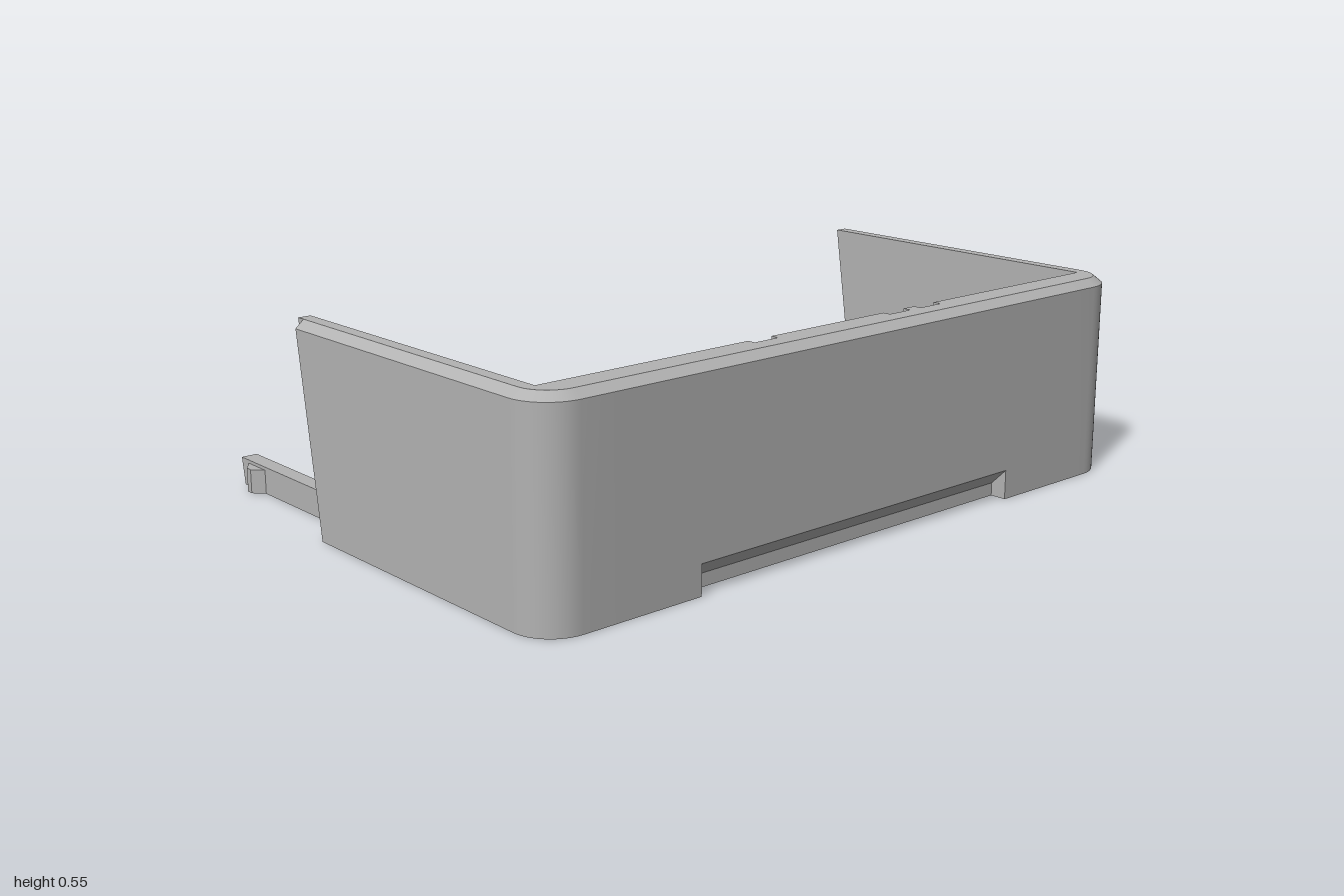
import * as THREE from 'three';
import { toCreasedNormals } from 'three/addons/utils/BufferGeometryUtils.js';

const H = 0.55, INNER_X = 0.94, INNER_Z = 0.635, FRONT = 0.73, R = 0.11, CH = 0.025, SEAM = 0.8;

// Extrude a (z, y) side profile between two x positions
function sidePrism(profile, xa, xb) {
  const x0 = Math.min(xa, xb), x1 = Math.max(xa, xb);
  const shape = new THREE.Shape(profile.map(([z, y]) => new THREE.Vector2(z, y)));
  const g = new THREE.ExtrudeGeometry(shape, { depth: x1 - x0, bevelEnabled: false });
  return g.rotateY(-Math.PI / 2).translate(x1, 0, 0);
}

// Extrude an (x, z) plan outline between two heights
function planPrism(outline, y0, y1) {
  const shape = new THREE.Shape(outline.map(([x, z]) => new THREE.Vector2(x, -z)));
  const g = new THREE.ExtrudeGeometry(shape, { depth: y1 - y0, bevelEnabled: false });
  return g.rotateX(-Math.PI / 2).translate(0, y0, 0);
}

// Slanted rear edge of the side walls
const rearZ = (y) => -0.197 - 0.083 * (y / H);

// Rounded corner plus side wall, swept as five-point cross-sections
function sideWall(s) {
  const rings = [];
  const ring = (ox, oz, nx, nz, ix, iz) => rings.push([
    [ox, 0, oz], [ox, H - 0.02, oz], [ox - nx * CH, H, oz - nz * CH], [ix, H, iz], [ix, 0, iz],
  ]);
  ring(SEAM, FRONT, 0, 1, SEAM, INNER_Z);
  const steps = 12;
  for (let i = 0; i <= steps; i++) {
    const a = (i / steps) * Math.PI / 2, nx = Math.sin(a), nz = Math.cos(a);
    ring(1 - R + R * nx, FRONT - R + R * nz, nx, nz, INNER_X, i < steps ? INNER_Z : FRONT - R);
  }
  // bevelled, slanted end
  for (const [inset, shift] of [[0, CH], [CH, 0]]) {
    rings.push([[1 - inset, 0], [1 - inset, H - 0.02], [1 - CH, H], [INNER_X, H], [INNER_X, 0]]
      .map(([x, y]) => [x, y, rearZ(y) + shift]));
  }
  const pos = [], idx = [], n = 5;
  rings.forEach((r) => r.forEach(([x, y, z]) => pos.push(s * x, y, z)));
  const tri = (a, b, c) => (s > 0 ? idx.push(a, b, c) : idx.push(a, c, b));
  for (let i = 0; i < rings.length - 1; i++) {
    for (let j = 0; j < n; j++) {
      const a = i * n + j, b = i * n + (j + 1) % n;
      tri(a, a + n, b);
      tri(b, a + n, b + n);
    }
  }
  const e = (rings.length - 1) * n;
  for (let j = 1; j < n - 1; j++) tri(e, e + j + 1, e + j);
  const g = new THREE.BufferGeometry();
  g.setAttribute('position', new THREE.Float32BufferAttribute(pos, 3));
  g.setIndex(idx);
  return toCreasedNormals(g, 0.5);
}

// Front wall section, optionally with the lower finger slot and an inner groove
function frontProfile(slot, groove) {
  const outer = slot
    ? [[FRONT - 0.045, 0], [FRONT - 0.045, 0.035], [FRONT, 0.08]]
    : [[FRONT, 0]];
  const top = [[FRONT, H - 0.02], [FRONT - CH, H]];
  const d = INNER_Z + 0.022;
  const inner = groove
    ? [[d, H], [d, 0.335], [INNER_Z, 0.335], [INNER_Z, 0.3], [d, 0.3], [d, 0.28], [INNER_Z, 0.22]]
    : [[INNER_Z, H]];
  return [[INNER_Z, 0], ...outer, ...top, ...inner];
}

export function createModel() {
  const model = new THREE.Group();
  model.name = 'snapOnCover';
  const grey = new THREE.MeshStandardMaterial({ color: 0xb2b2b2 });
  grey.name = 'grey plastic';
  const add = (name, geometry) => {
    const mesh = new THREE.Mesh(geometry, grey);
    mesh.name = name;
    model.add(mesh);
  };

  // Front wall in strips along x
  const stops = [-SEAM, -0.545, -0.315, -0.24, 0.15, 0.225, 0.265, 0.34, 0.545, SEAM];
  const grooved = [2, 4, 6];
  for (let i = 0; i < stops.length - 1; i++) {
    const slot = i > 0 && i < stops.length - 2;
    add('frontWall', sidePrism(frontProfile(slot, grooved.includes(i)), stops[i], stops[i + 1]));
  }

  for (const s of [1, -1]) {
    const side = s > 0 ? 'left' : 'right';
    add(side + 'Wall', sideWall(s));
    // Bracket and rear snap arm
    add(side + 'Bracket', sidePrism([[-0.22, 0], [0.097, 0], [0.08, 0.075], [-0.22, 0.075]], s * 0.865, s * INNER_X));
    add(side + 'Arm', sidePrism([[-0.722, 0], [-0.21, 0], [-0.21, 0.075], [-0.735, 0.075]], s * 0.865, s * 0.91));
    add(side + 'SnapBump', planPrism(
      [[0.905, -0.605], [0.937, -0.64], [0.937, -0.66], [0.905, -0.705]].map(([x, z]) => [s * x, z]), 0, 0.066));
  }

  // Inner support blocks
  add('leftBlock', planPrism([[0.61, 0.55], [0.76, 0.55], [0.76, 0.64], [0.61, 0.64]], 0, 0.2));
  add('rightBlock', planPrism(
    [[-0.73, 0.425], [-0.675, 0.425], [-0.675, 0.55], [-0.59, 0.55], [-0.59, 0.64], [-0.73, 0.64]], 0, 0.2));
  // Sloped hook beside the right block
  add('rightHook', sidePrism([[0.425, 0], [0.455, 0], [0.488, 0.08], [0.425, 0.2]], -0.675, -0.61));
  return model;
}
